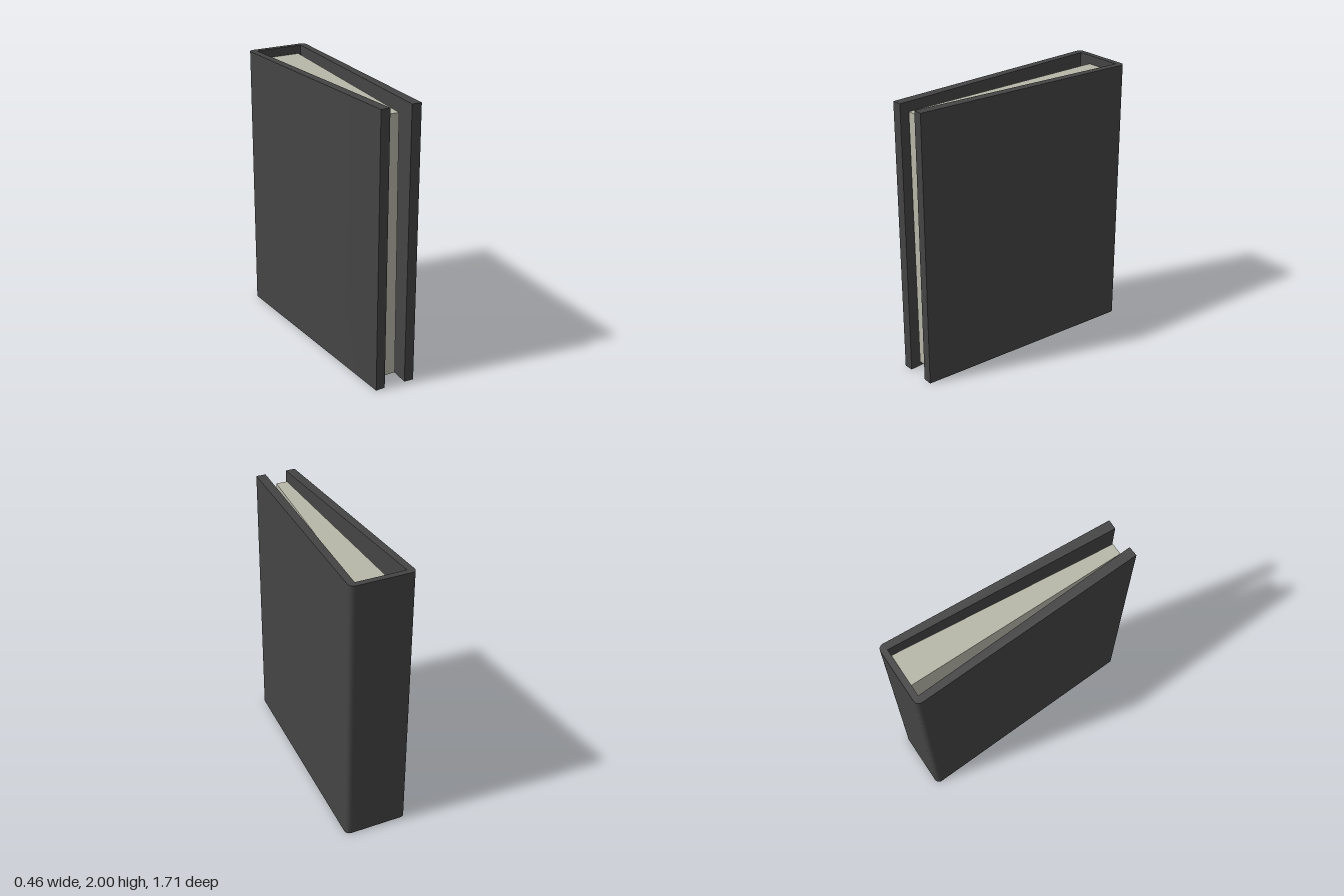
import * as THREE from 'three';
import { toCreasedNormals } from 'three/addons/utils/BufferGeometryUtils.js';

const coverMaterial = new THREE.MeshStandardMaterial({ color: 0x444444 });
coverMaterial.name = 'charcoal cover';
const paperMaterial = new THREE.MeshStandardMaterial({ color: 0xb6b6a8 });
paperMaterial.name = 'aged paper';

// Wrap-around cover: a U-shaped plan with a rounded spine, extruded upwards.
function createCover() {
  const plan = new THREE.Shape(); // shape y is -z
  plan.moveTo(-0.15, -0.855);
  plan.lineTo(-0.231, 0.815);
  plan.quadraticCurveTo(-0.229, 0.855, -0.19, 0.855);
  plan.lineTo(0.19, 0.855);
  plan.quadraticCurveTo(0.229, 0.855, 0.231, 0.815);
  plan.lineTo(0.15, -0.855);
  plan.lineTo(0.08, -0.852);
  plan.lineTo(0.18, 0.812);
  plan.lineTo(-0.18, 0.812);
  plan.lineTo(-0.08, -0.852);
  plan.closePath();
  const geometry = new THREE.ExtrudeGeometry(plan, { depth: 2, bevelEnabled: false, curveSegments: 6 });
  geometry.rotateX(-Math.PI / 2);
  const cover = new THREE.Mesh(toCreasedNormals(geometry, 0.6), coverMaterial);
  cover.name = 'cover';
  return cover;
}

// Page block: a wedge that narrows to the front and leans slightly askew.
function createPages() {
  const geometry = new THREE.BoxGeometry(1, 1, 1).toNonIndexed();
  const p = geometry.attributes.position;
  const edges = { // [left x, right x]
    topBack: [-0.08, 0.157], topFront: [-0.064, 0.02],
    bottomBack: [-0.11, 0.13], bottomFront: [-0.05, 0.035],
  };
  for (let i = 0; i < p.count; i++) {
    const top = p.getY(i) > 0, front = p.getZ(i) > 0;
    const edge = edges[(top ? 'top' : 'bottom') + (front ? 'Front' : 'Back')];
    p.setXYZ(i, edge[p.getX(i) > 0 ? 1 : 0], top ? 1.94 : 0.06, front ? 0.797 : (top ? -0.805 : -0.81));
  }
  geometry.computeVertexNormals();
  const pages = new THREE.Mesh(geometry, paperMaterial);
  pages.name = 'pages';
  return pages;
}

export function createModel() {
  const book = new THREE.Group();
  book.name = 'book';
  book.add(createCover(), createPages());
  return book;
}
